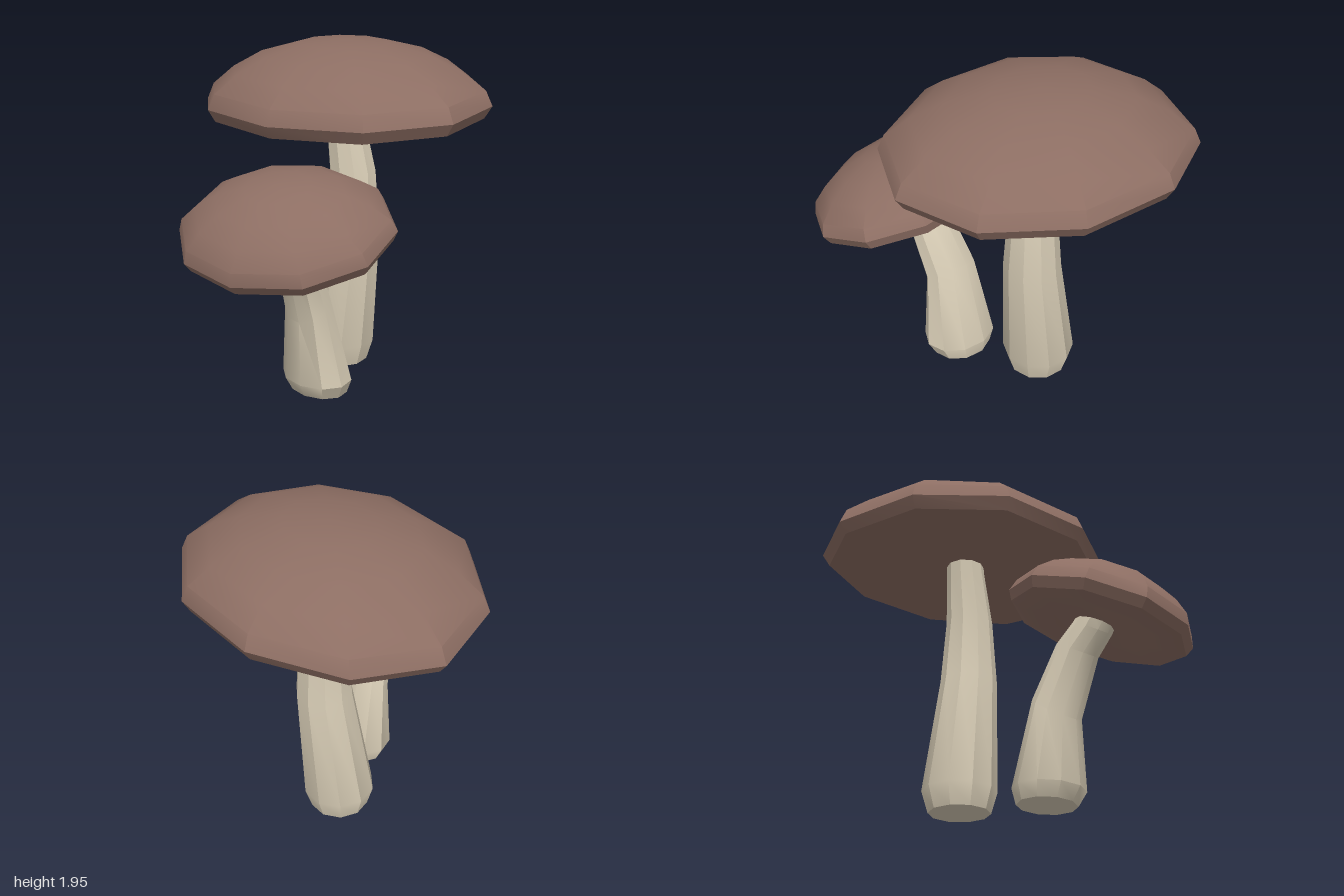
import * as THREE from 'three';
import { toCreasedNormals } from 'three/addons/utils/BufferGeometryUtils.js';

const SIDES = 10;
const capMaterial = new THREE.MeshStandardMaterial({ color: 0x8d6e63 });
const stemMaterial = new THREE.MeshStandardMaterial({ color: 0xd7ccb5 });

// Cap section from the underside centre, round the rim, to the top: [radius, height]
const capProfile = [
  [0, -0.05], [0.5, -0.065], [0.78, -0.1], [0.95, -0.07], [1, 0],
  [0.955, 0.085], [0.8, 0.18], [0.59, 0.265], [0.31, 0.325], [0, 0.345],
];

// Turns a profile into a ten-sided solid and moves every vertex by a rule
function lathe(profile, name, material, rule) {
  const points = profile.map(([r, y]) => new THREE.Vector2(r, y));
  const geometry = new THREE.LatheGeometry(points, SIDES, Math.PI / 2);
  const pos = geometry.attributes.position;
  const p = new THREE.Vector3();
  for (let i = 0; i < pos.count; i++) {
    p.fromBufferAttribute(pos, i);
    rule(p);
    pos.setXYZ(i, p.x, p.y, p.z);
  }
  const mesh = new THREE.Mesh(toCreasedNormals(geometry, 0.55), material);
  mesh.name = name;
  return mesh;
}

// Cap spanned by two rim directions u, v and an axis n; the far left edge may droop
function cap(name, centre, u, v, n, droop = 0) {
  const [c, a, b, axis] = [centre, u, v, n].map((e) => new THREE.Vector3(...e));
  return lathe(capProfile, name, capMaterial, (p) => {
    const { x, y, z } = p;
    p.copy(c).addScaledVector(a, x).addScaledVector(b, z).addScaledVector(axis, y);
    p.y -= droop * Math.max(0, (-x - 0.28) / 0.72) ** 2;
  });
}

// Stem through elliptical rings: [x, y, z, radiusX, radiusZ, slope along z]
function stem(name, rings) {
  const last = rings.length - 1;
  const profile = [[0, 0], ...rings.map((_, i) => [1, i]), [0, last]];
  return lathe(profile, name, stemMaterial, (p) => {
    const [x, y, z, rx, rz, slope] = rings[Math.round(p.y)];
    const dz = p.z * rz;
    p.set(x + p.x * rx, y + slope * dz, z + dz);
  });
}

export function createModel() {
  const model = new THREE.Group();
  model.name = 'mushrooms';

  const large = new THREE.Group();
  large.name = 'largeMushroom';
  large.add(
    cap('largeCap', [-0.055, 1.61, -0.245], [0.895, 0, 0], [0, -0.02, 0.79], [0, 1, 0], 0.07),
    stem('largeStem', [
      [-0.08, 0.005, -0.235, 0.175, 0.175, 0],
      [-0.08, 0.13, -0.237, 0.212, 0.212, 0],
      [0, 0.82, -0.268, 0.165, 0.165, 0],
      [0, 1.2, -0.267, 0.137, 0.137, 0],
      [-0.05, 1.52, -0.247, 0.112, 0.112, 0],
      [-0.06, 1.64, -0.245, 0.11, 0.11, 0],
    ]),
  );

  const small = new THREE.Group();
  small.name = 'smallMushroom';
  small.add(
    cap('smallCap', [0.365, 1.06, 0.485], [0.585, -0.055, -0.07], [0, -0.15, 0.522],
      [0.1, 0.78, 0.225]),
    stem('smallStem', [
      [0.22, 0.015, 0.155, 0.185, 0.15, 0.03],
      [0.225, 0.1, 0.17, 0.225, 0.18, 0],
      [0.23, 0.55, 0.24, 0.16, 0.105, -0.75],
      [0.285, 0.88, 0.36, 0.135, 0.095, -0.55],
      [0.32, 1.0, 0.455, 0.125, 0.085, -0.6],
      [0.34, 1.08, 0.5, 0.12, 0.085, -0.5],
    ]),
  );

  model.add(large, small);
  return model;
}
